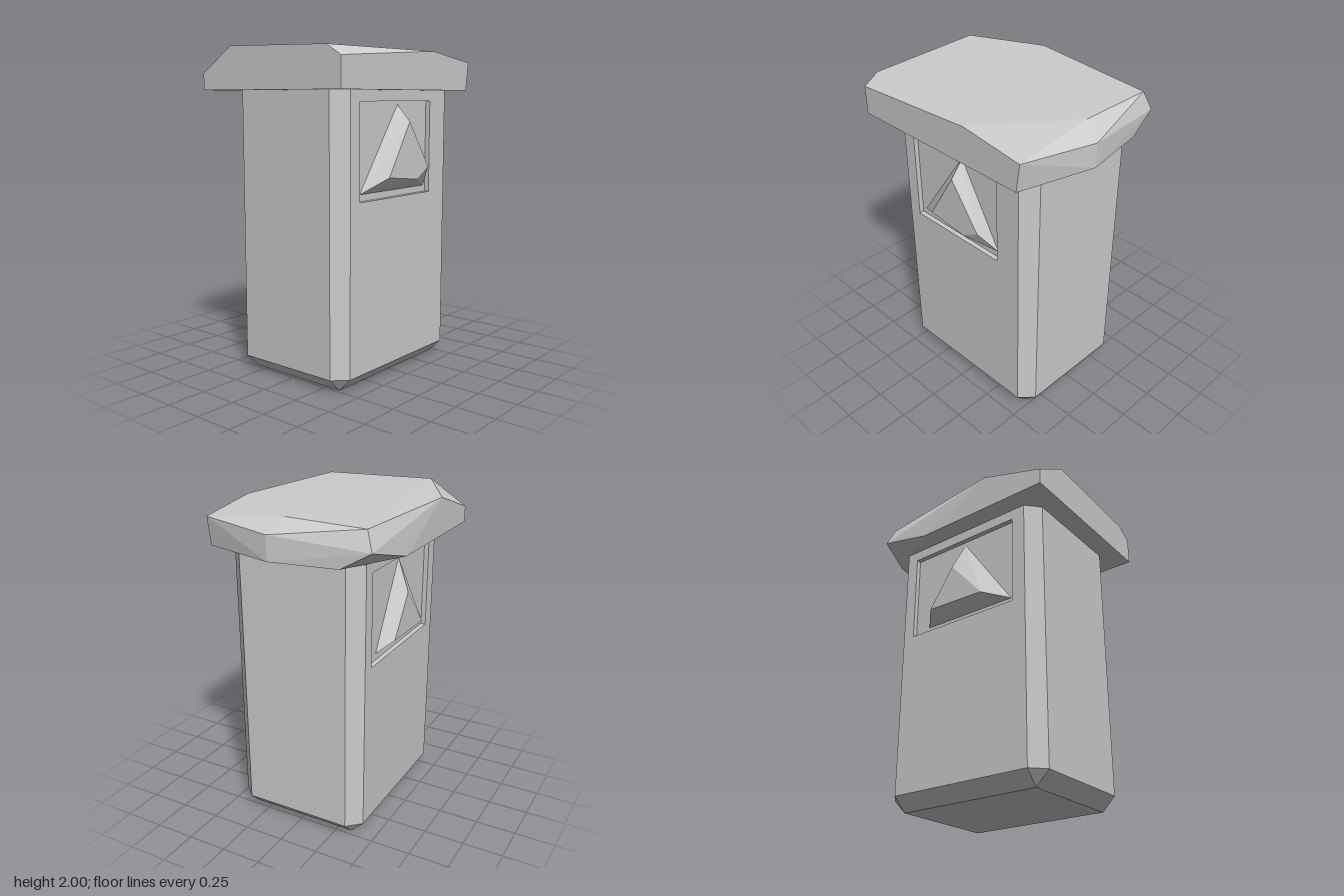
import * as THREE from 'three';
import { ConvexGeometry } from 'three/addons/geometries/ConvexGeometry.js';

const material = new THREE.MeshStandardMaterial({ color: 0xcccccc, flatShading: true });

function addMesh(group, name, geometry) {
  const mesh = new THREE.Mesh(geometry, material);
  mesh.name = name;
  group.add(mesh);
}

const hull = (points) => new ConvexGeometry(points.map((p) => new THREE.Vector3(...p)));

// Fan-triangulates a list of flat polygons
function polygons(list) {
  const positions = [];
  for (const p of list) {
    for (let i = 1; i < p.length - 1; i++) positions.push(...p[0], ...p[i], ...p[i + 1]);
  }
  const geometry = new THREE.BufferGeometry();
  geometry.setAttribute('position', new THREE.Float32BufferAttribute(positions, 3));
  geometry.computeVertexNormals();
  return geometry;
}

const rect = (x0, x1, y0, y1, z) => [[x0, y0, z], [x1, y0, z], [x1, y1, z], [x0, y1, z]];

// Quads joining one rectangle to another
const frame = (a, b) => a.map((p, i) => [p, a[(i + 1) % 4], b[(i + 1) % 4], b[i]]);

const TOP = 1.745, CUT = 0.085;

// Wall with a sunken window panel, facing front or back
function panelWall(x0, x1, zFace, zFloor) {
  const outer = rect(-0.485, 0.47, CUT, TOP, zFace);
  const hole = rect(x0, x1, 1.11, 1.68, zFace);
  const floor = rect(x0, x1, 1.11, 1.68, zFloor);
  const faces = [...frame(outer, hole), ...frame(hole, floor), floor];
  return zFace > 0 ? faces : faces.map((f) => f.reverse());
}

function bodyGeometry() {
  // Chamfered plan outline and the smaller base it tapers to
  const ring = [
    [-0.485, 0.435], [0.47, 0.435], [0.55, 0.35], [0.55, -0.34],
    [0.47, -0.425], [-0.485, -0.425], [-0.565, -0.34], [-0.565, 0.35],
  ];
  const base = ring.map(([x, z]) => [
    THREE.MathUtils.clamp(x, -0.48, 0.465), 0, THREE.MathUtils.clamp(z, -0.34, 0.35),
  ]);
  const at = (i, y) => [ring[i][0], y, ring[i][1]];
  const faces = [[base[0], base[5], base[4], base[1]]];
  for (let i = 0; i < 8; i++) {
    const j = (i + 1) % 8;
    faces.push([base[i], base[j], at(j, CUT), at(i, CUT)]);
    if (i !== 0 && i !== 4) faces.push([at(i, CUT), at(j, CUT), at(j, TOP), at(i, TOP)]);
  }
  faces.push(...panelWall(-0.4, 0.3, 0.435, 0.405), ...panelWall(-0.395, 0.39, -0.425, -0.395));
  return polygons(faces);
}

// Faceted triangular boss with a flat crown
function bossGeometry(crown, zFloor, zCrown) {
  const foot = [[-0.005, 1.66], [-0.365, 1.15], [0.28, 1.15]];
  return hull([
    ...foot.map(([x, y]) => [x, y, zFloor]),
    ...crown.map(([x, y]) => [x, y, zCrown]),
  ]);
}

export function createModel() {
  const model = new THREE.Group();
  model.name = 'stonePost';

  addMesh(model, 'body', bodyGeometry());
  addMesh(model, 'frontTriangle',
    bossGeometry([[0, 1.56], [-0.2, 1.24], [0.08, 1.21], [0.2, 1.28]], 0.405, 0.495));
  addMesh(model, 'backTriangle',
    bossGeometry([[0.03, 1.47], [-0.2, 1.21], [0.2, 1.22]], -0.395, -0.48));

  // Rough-hewn capstone with chipped corners
  addMesh(model, 'capstone', hull([
    // underside
    [-0.69, TOP, 0.54], [0.555, TOP, 0.54], [0.685, TOP, 0.07],
    [0.62, TOP, -0.34], [0.22, TOP, -0.545], [-0.69, TOP, -0.545],
    // rim
    [-0.69, 1.92, 0.54], [0.58, 1.92, 0.54], [0.685, 1.895, 0.07],
    [0.6, 1.85, -0.52], [-0.69, 1.845, -0.545],
    // upper surface
    [0.17, 1.975, 0.54], [0.57, 1.975, 0.02], [0.565, 1.965, -0.475],
    [-0.27, 1.98, -0.545], [-0.69, 2, -0.3], [-0.69, 1.98, 0.44],
  ]));

  return model;
}
